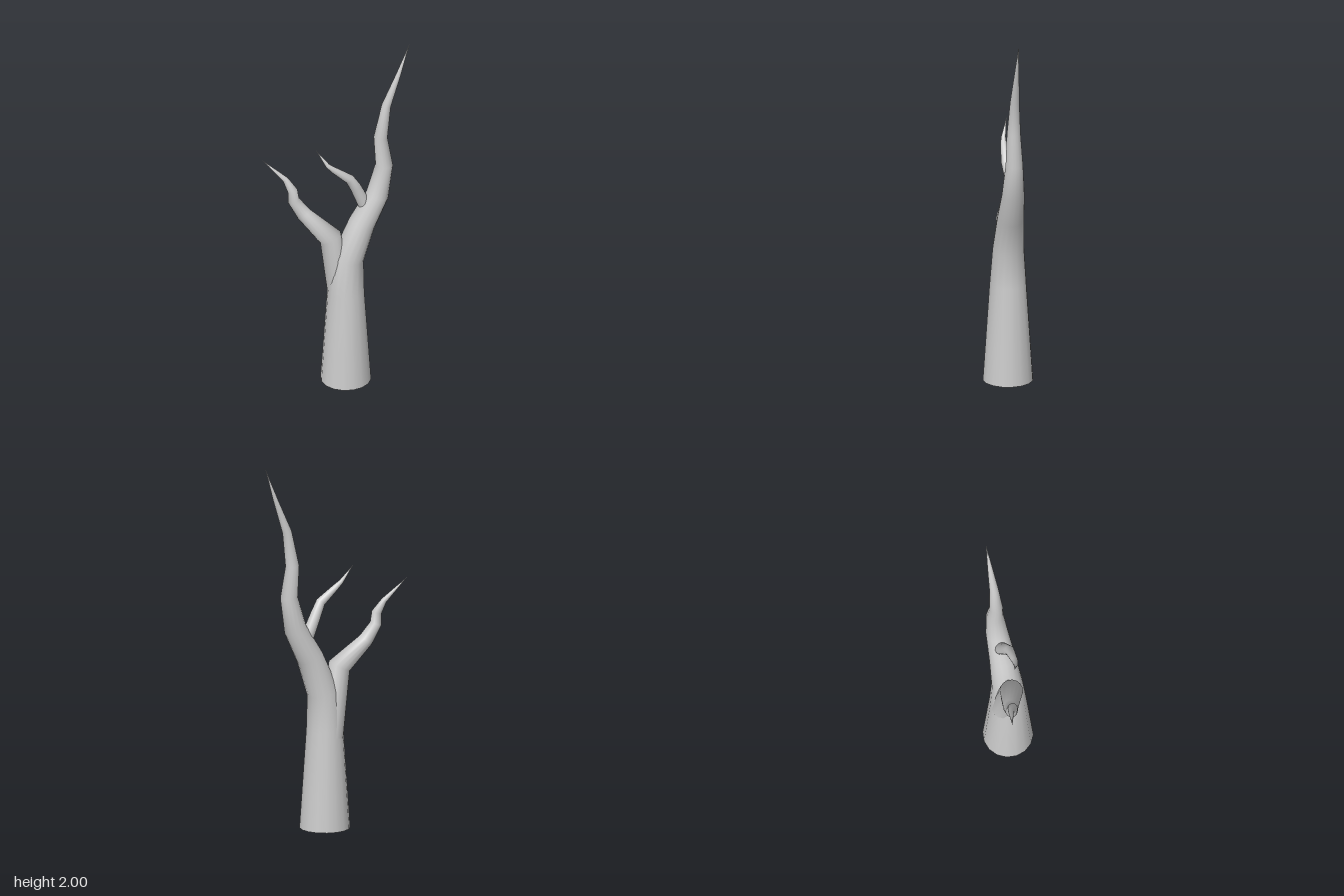
import * as THREE from 'three';

const SIDES = 16;

// Tapered limb: rings [x, y, z, radius] skinned into a smooth tube ending in a point, with a flat base cap.
function limb(name, rings, material) {
  const centres = rings.map(([x, y, z]) => new THREE.Vector3(x, y, z));
  const positions = [], index = [];
  const frame = new THREE.Quaternion();
  const direction = new THREE.Vector3(0, 1, 0);
  const last = rings.length - 1;

  rings.forEach(([, , , radius], i) => {
    // Each ring faces the average of its two neighbouring segments
    const tangent = new THREE.Vector3();
    if (i > 0) tangent.add(centres[i].clone().sub(centres[i - 1]).normalize());
    if (i < last) tangent.add(centres[i + 1].clone().sub(centres[i]).normalize());
    tangent.normalize();
    frame.premultiply(new THREE.Quaternion().setFromUnitVectors(direction, tangent));
    direction.copy(tangent);
    for (let s = 0; s < SIDES; s++) {
      const a = (s / SIDES) * Math.PI * 2;
      const p = new THREE.Vector3(Math.sin(a), 0, Math.cos(a))
        .multiplyScalar(Math.max(radius, 0.0005)).applyQuaternion(frame).add(centres[i]);
      positions.push(p.x, p.y, p.z);
      if (i < last) {
        const n = (s + 1) % SIDES;
        const a0 = i * SIDES + s, b0 = i * SIDES + n;
        index.push(a0, b0, b0 + SIDES, a0, b0 + SIDES, a0 + SIDES);
      }
    }
  });

  // Base cap has its own vertices so that its edge stays sharp
  const start = positions.length / 3;
  positions.push(...positions.slice(0, SIDES * 3), ...centres[0].toArray());
  for (let s = 0; s < SIDES; s++) index.push(start + SIDES, start + (s + 1) % SIDES, start + s);

  const geometry = new THREE.BufferGeometry();
  geometry.setAttribute('position', new THREE.Float32BufferAttribute(positions, 3));
  geometry.setIndex(index);
  geometry.computeVertexNormals();
  const mesh = new THREE.Mesh(geometry, material);
  mesh.name = name;
  return mesh;
}

export function createModel() {
  const tree = new THREE.Group();
  tree.name = 'bareTree';
  const bark = new THREE.MeshStandardMaterial({ color: 0xcccccc });

  // Trunk sweeps up into the tall leader
  tree.add(limb('trunk', [
    [0.035, 0, 0, 0.135], [0.035, 0.54, 0, 0.099], [0.047, 0.74, 0, 0.085],
    [0.125, 0.94, 0, 0.072], [0.21, 1.1, 0, 0.061], [0.248, 1.28, 0, 0.047],
    [0.228, 1.45, 0, 0.037], [0.26, 1.64, 0, 0.025], [0.328, 1.82, 0, 0.013],
    [0.39, 2, 0, 0],
  ], bark));

  // Crooked branch on the right, leaning back
  tree.add(limb('rightBranch', [
    [0.015, 0.5, -0.03, 0.068], [-0.047, 0.875, -0.01, 0.062], [-0.18, 1.015, -0.06, 0.04],
    [-0.232, 1.1, -0.073, 0.032], [-0.238, 1.16, -0.07, 0.027], [-0.272, 1.225, -0.09, 0.016],
    [-0.39, 1.345, -0.124, 0],
  ], bark));

  // Thin twig growing out of the leader
  tree.add(limb('twig', [
    [0.145, 1.04, -0.004, 0.035], [0.09, 1.165, 0, 0.03], [0.052, 1.23, 0.014, 0.026],
    [-0.035, 1.3, 0.013, 0.017], [-0.068, 1.33, 0.008, 0.012], [-0.125, 1.42, -0.018, 0],
  ], bark));

  return tree;
}
